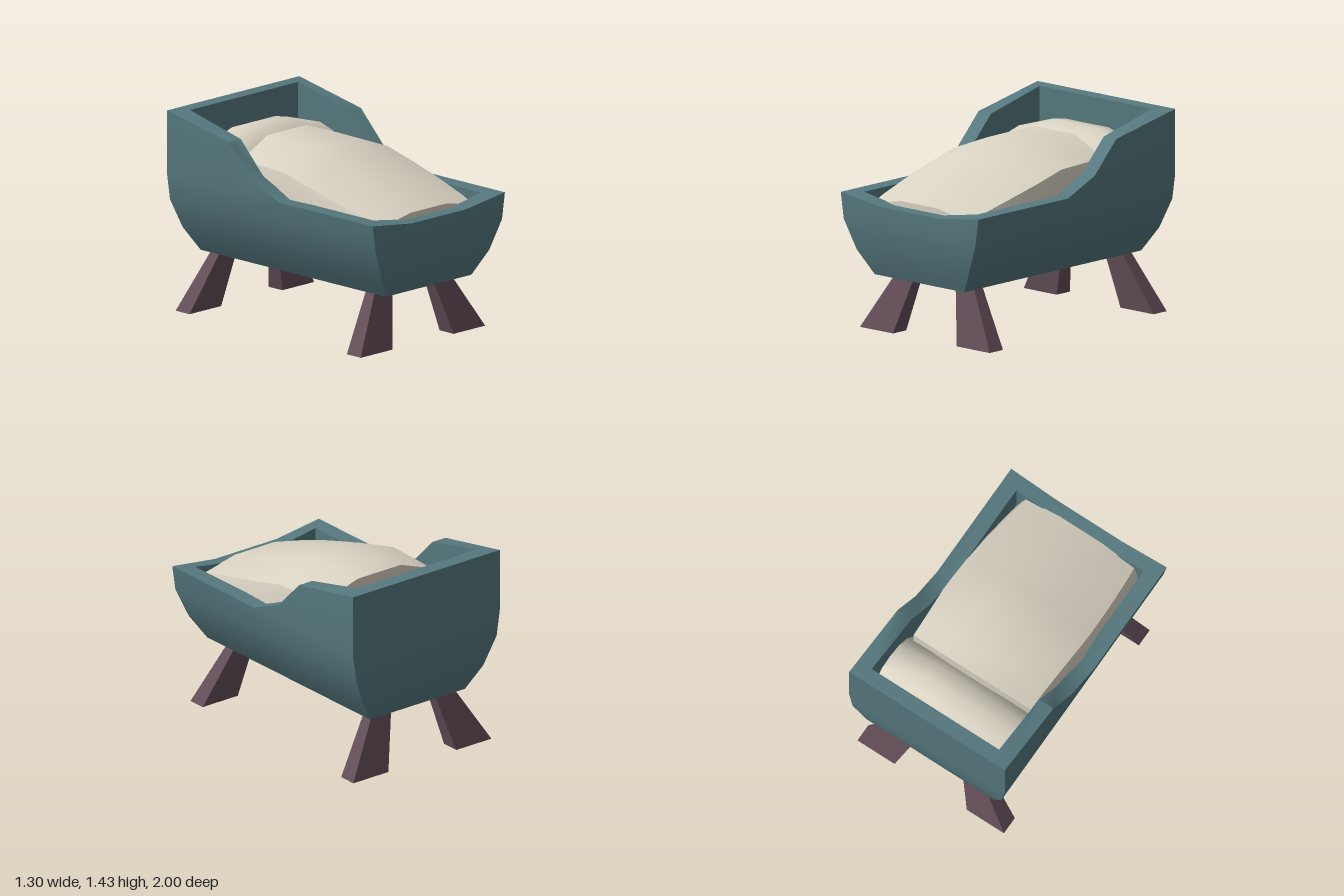
import * as THREE from 'three';
import { toCreasedNormals } from 'three/addons/utils/BufferGeometryUtils.js';

const woodMat = new THREE.MeshStandardMaterial({ color: 0x56797f, side: THREE.DoubleSide });
const legMat = new THREE.MeshStandardMaterial({ color: 0x644f59 });
const clothMat = new THREE.MeshStandardMaterial({ color: 0xd9d3c3, side: THREE.DoubleSide });

// Skin a list of rings (each a list of Vector3), leaving out collapsed triangles
function loft(rings, closed, crease) {
  const pos = [];
  const tri = (a, b, c) => {
    const area = b.clone().sub(a).cross(c.clone().sub(a)).length();
    if (area > 1e-7) for (const p of [a, b, c]) pos.push(p.x, p.y, p.z);
  };
  for (let i = 0; i < rings.length - 1; i++) {
    const lo = rings[i], hi = rings[i + 1], n = lo.length;
    for (let j = 0; j < (closed ? n : n - 1); j++) {
      const k = (j + 1) % n;
      tri(lo[j], lo[k], hi[k]);
      tri(lo[j], hi[k], hi[j]);
    }
  }
  const geo = new THREE.BufferGeometry();
  geo.setAttribute('position', new THREE.Float32BufferAttribute(pos, 3));
  return toCreasedNormals(geo, crease);
}

// Cradle shell: flared outside, sloping rim, straight-walled inside, open underneath
function createShell() {
  // Half of the rim: [x sign fraction, outer z, inner z, rim height]
  const half = [
    [0.42, 1, 0.89, 0.925],
    [1, 1, 0.89, 0.975],
    [1, 0.09, 0.09, 0.975],
    [1, -0.18, -0.18, 1.09],
    [1, -0.4, -0.4, 1.315],
    [1, -1, -0.895, 1.43],
  ];
  const loop = [...half, ...half.slice().reverse().map(([x, ...r]) => [-x, ...r])];
  const outer = (w, d, height) => loop.map(([x, z, , top]) =>
    new THREE.Vector3(x * w, Math.min(height, top), z * d));
  const inner = (s, height) => loop.map(([x, , z, top]) =>
    new THREE.Vector3(x * 0.53 * s, Math.min(height, top), z * s));
  return loft([
    outer(0.42, 0.9, 0.41),
    outer(0.53, 0.965, 0.58),
    outer(0.62, 1, 0.79),
    outer(0.648, 1, 0.975),
    outer(0.648, 1, 2),
    inner(1, 2),
    inner(1, 0.68),
    inner(0, 0.68),
  ], true, 0.6);
}

// Soft bedding: arched sections from back to front, [z, half width, top height, end bend]
function createBedding(sections, base, arch, crease) {
  const profile = [...arch, ...arch.slice().reverse().map(([x, y, b]) => [-x, y, b])];
  const rings = sections.map(([z, w, top, bend]) => profile.map(([x, y, b]) =>
    new THREE.Vector3(x * w, base + y * (top - base), z + bend * b)));
  return loft(rings, false, crease);
}

// Splayed leg: a box whose corners are moved to a wide foot and a narrow top
function createLeg(side, footZ, topZ) {
  const geo = new THREE.BoxGeometry(2, 1, 2);
  const p = geo.attributes.position;
  for (let i = 0; i < p.count; i++) {
    const top = p.getY(i) > 0;
    const x = side * (top ? 0.16 : 0.455) + p.getX(i) * (top ? 0.04 : 0.155);
    const z = (top ? topZ : footZ) + p.getZ(i) * (top ? 0.025 : 0.0675);
    p.setXYZ(i, x, top ? 0.68 : 0, z);
  }
  geo.computeVertexNormals();
  return geo;
}

export function createModel() {
  const group = new THREE.Group();
  const add = (name, geo, mat) => {
    const mesh = new THREE.Mesh(geo, mat);
    mesh.name = name;
    group.add(mesh);
  };

  add('cradleShell', createShell(), woodMat);

  // Blanket, with a closed wall at each end
  add('blanket', createBedding([
    [-0.48, 0.525, 0.69, 0.11],
    [-0.48, 0.525, 1.265, 0.11],
    [-0.3, 0.53, 1.27, 0.06],
    [0, 0.545, 1.265, 0],
    [0.25, 0.545, 1.185, 0],
    [0.5, 0.53, 1.105, 0],
    [0.75, 0.505, 1.02, 0],
    [0.9, 0.485, 0.965, -0.02],
    [0.9, 0.485, 0.69, -0.02],
  ], 0.69, [[1, 0, 1], [1, 0.49, 1], [0.93, 0.79, 0.35], [0.36, 1, 0]], 0.8), clothMat);

  // Pillow against the headboard, rolling down at its front
  add('pillow', createBedding([
    [-0.893, 0.528, 0.75, 0.065],
    [-0.893, 0.528, 1.2, 0.065],
    [-0.8, 0.528, 1.265, 0.03],
    [-0.68, 0.528, 1.283, 0],
    [-0.56, 0.528, 1.24, 0],
    [-0.46, 0.528, 1.13, 0],
    [-0.38, 0.528, 0.95, 0],
    [-0.36, 0.528, 0.75, 0],
  ], 0.75, [[1, 0, 1], [1, 0.82, 1], [0.4, 1, 0]], 0.8), clothMat);

  for (const side of [1, -1]) {
    const name = side > 0 ? 'Left' : 'Right';
    add('front' + name + 'Leg', createLeg(side, 0.778, 0.645), legMat);
    add('back' + name + 'Leg', createLeg(side, -0.887, -0.755), legMat);
  }
  return group;
}
